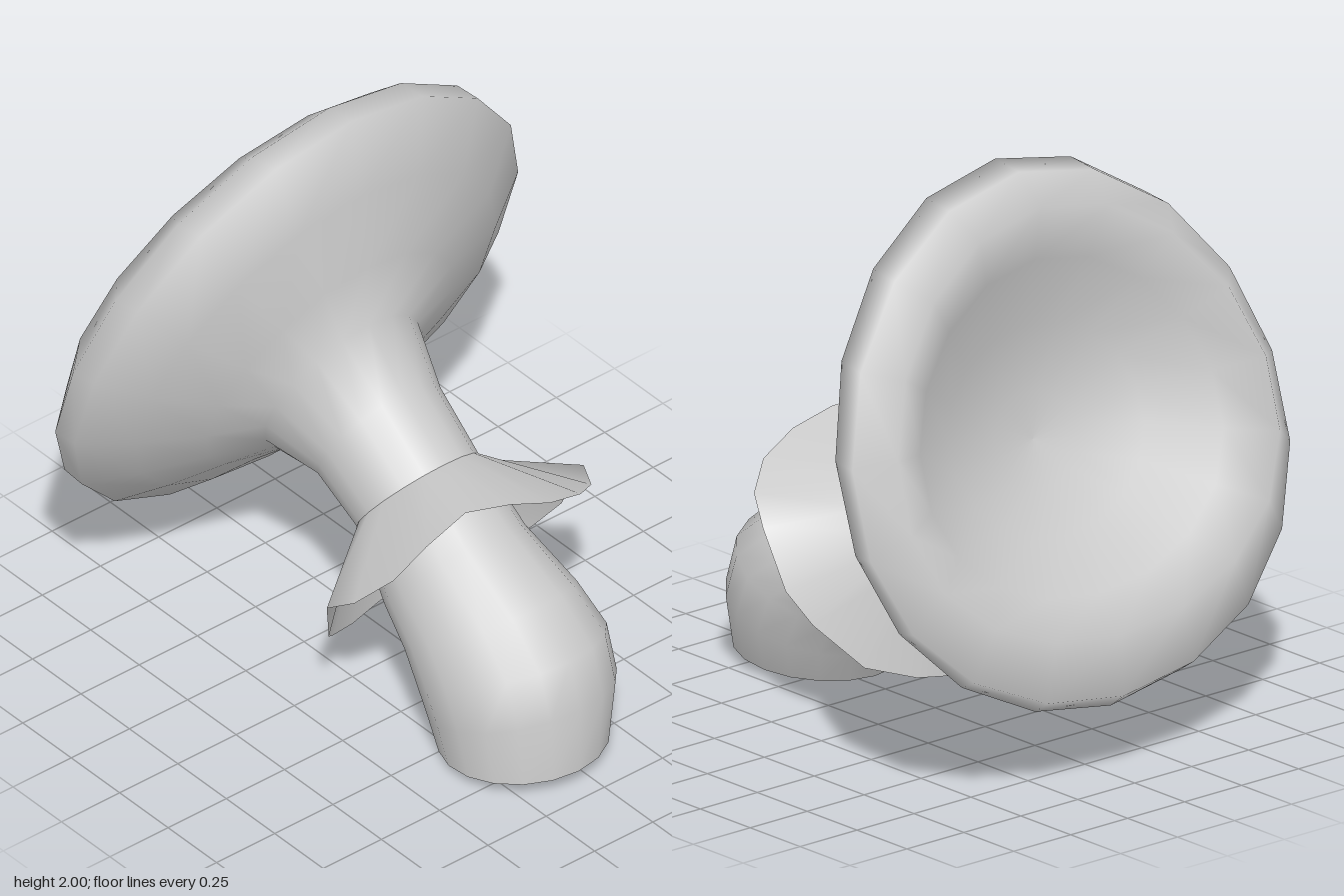
import * as THREE from 'three';

const SIDES = 18;
const material = new THREE.MeshStandardMaterial({ color: 0xcccccc, side: THREE.DoubleSide });

// Closed ring through an upper point A and lower point B in the xy plane,
// with a depth centre, a depth radius and a shift of its two sides.
function ring([ax, ay, bx, by, zc, rz, sideX = 0, sideY = 0], sides = SIDES) {
  const points = [];
  for (let i = 0; i < sides; i++) {
    const t = (i / sides) * Math.PI * 2;
    const c = Math.cos(t), s = Math.sin(t);
    points.push(new THREE.Vector3(
      (ax + bx) / 2 + c * (ax - bx) / 2 + sideX * s * s,
      (ay + by) / 2 + c * (ay - by) / 2 + sideY * s * s,
      zc + s * rz));
  }
  return points;
}

// Smooth skin over rings with equal point counts
function loft(name, rings) {
  const n = rings[0].length;
  const index = [];
  for (let i = 0; i < rings.length - 1; i++) {
    for (let j = 0; j < n; j++) {
      const k = (j + 1) % n;
      const a = i * n + j, b = i * n + k, c = a + n, d = b + n;
      index.push(a, c, b, b, c, d);
    }
  }
  const geometry = new THREE.BufferGeometry().setFromPoints(rings.flat());
  geometry.setIndex(index);
  geometry.computeVertexNormals();
  const mesh = new THREE.Mesh(geometry, material);
  mesh.name = name;
  return mesh;
}

export function createModel() {
  const model = new THREE.Group();
  model.name = 'trumpetFlower';

  // Open bent stem, flared bell, rolled rim and the shallow hollow of the mouth
  const joint = [0.20, 0.88, -0.08, 0.51, 0.02, 0.235];
  const sections = [
    [0.94, 0.06, 0.37, 0.00, 0.06, 0.285],
    [0.925, 0.29, 0.32, 0.10, 0.04, 0.325],
    [0.87, 0.46, 0.255, 0.21, 0.04, 0.33],
    [0.71, 0.59, 0.20, 0.24, 0.035, 0.305],
    [0.44, 0.72, 0.09, 0.30, 0.03, 0.265],
    joint,
    [-0.02, 1.04, -0.27, 0.60, 0.015, 0.245],
    [-0.18, 1.24, -0.46, 0.62, 0.03, 0.31],
    [-0.21, 1.45, -0.60, 0.50, 0.01, 0.51, 0, -0.03],
    [-0.25, 1.72, -0.73, 0.37, 0, 0.75, 0, -0.04],
    [-0.30, 2.00, -0.88, 0.24, 0, 0.925, 0, -0.06],
    [-0.42, 1.985, -0.945, 0.29, 0, 0.935, 0, -0.08],
    [-0.53, 1.89, -0.935, 0.50, 0, 0.82, -0.04, -0.08],
    [-0.50, 1.70, -0.83, 0.62, 0, 0.65, -0.02, -0.05],
    [-0.44, 1.45, -0.67, 0.78, 0, 0.42],
    [-0.45, 1.22, -0.56, 0.92, 0, 0.18],
    [-0.49, 1.07, -0.49, 1.07, 0, 0],
  ];
  model.add(loft('stemAndBell', sections.map((s) => ring(s))));

  // Thin wavy collar spreading from the neck of the stem
  const edge = [
    [0.54, 0.91, 0.02], [0.50, 0.93, 0.18], [0.49, 0.86, 0.34], [0.43, 0.73, 0.43],
    [0.31, 0.60, 0.50], [0.18, 0.51, 0.51], [0.13, 0.34, 0.46], [0.02, 0.23, 0.35],
    [-0.06, 0.16, 0.20], [-0.12, 0.14, 0.03], [-0.08, 0.16, -0.15], [0.00, 0.21, -0.31],
    [0.11, 0.36, -0.44], [0.19, 0.47, -0.49], [0.28, 0.67, -0.51], [0.44, 0.73, -0.41],
    [0.53, 0.80, -0.29], [0.565, 0.86, -0.13],
  ].map((p) => new THREE.Vector3(...p));
  model.add(loft('collar', [edge, ring(joint, edge.length)]));

  return model;
}
